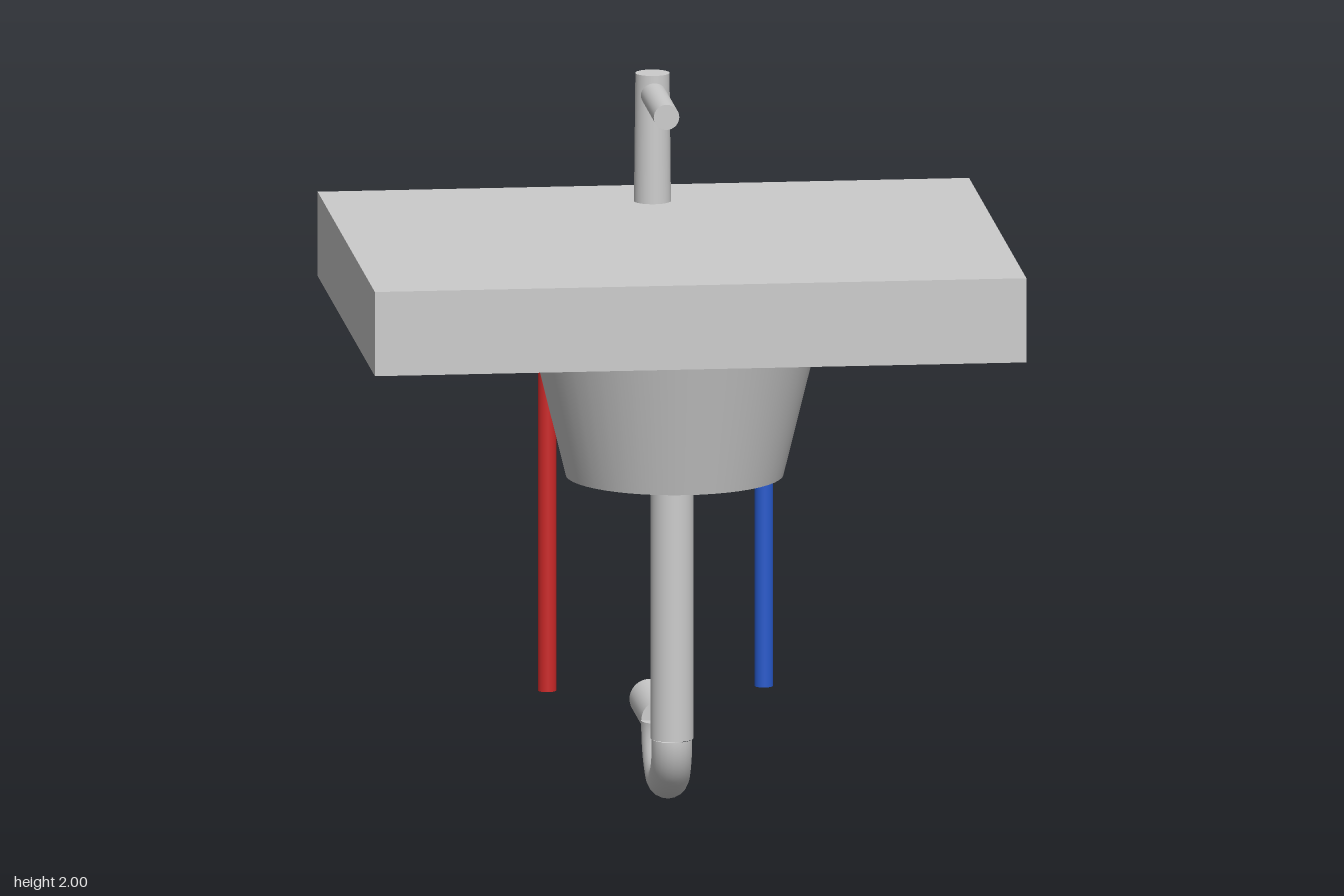
import * as THREE from 'three';

export function createModel() {
  const model = new THREE.Group();
  model.name = 'sink';

  const material = (name, color, side = THREE.FrontSide) => {
    const m = new THREE.MeshStandardMaterial({ color, side });
    m.name = name;
    return m;
  };
  const grey = material('grey', 0xcccccc);
  const red = material('red', 0xcc2828);
  const blue = material('blue', 0x285acc);

  const add = (name, geometry, mat, x, y, z) => {
    const mesh = new THREE.Mesh(geometry, mat);
    mesh.name = name;
    mesh.position.set(x, y, z);
    model.add(mesh);
    return mesh;
  };

  // Upright round part between two heights
  const upright = (name, mat, x, z, y0, y1, rBottom, rTop = rBottom, sides = 32) =>
    add(name, new THREE.CylinderGeometry(rTop, rBottom, y1 - y0, sides), mat, x, (y0 + y1) / 2, z);

  // Round part lying along z
  const lying = (name, mat, y, z0, z1, r) => {
    const geometry = new THREE.CylinderGeometry(r, r, Math.abs(z1 - z0), 32).rotateX(Math.PI / 2);
    return add(name, geometry, mat, 0, y, (z0 + z1) / 2);
  };

  // Countertop and the tapered bowl beneath it
  add('countertop', new THREE.BoxGeometry(1.834, 0.24, 1.466), grey, 0, 1.515, 0);
  upright('bowl', grey, 0, 0.064, 0.965, 1.395, 0.305, 0.411, 48);

  // Tap
  upright('tapBody', grey, 0, -0.5, 1.635, 2, 0.052, 0.048);
  lying('tapSpout', grey, 1.943, -0.5, -0.14, 0.036);

  // Drain: down pipe, U-bend and outlet
  upright('drainPipe', grey, 0, 0, 0.2, 0.965, 0.06);
  const bend = new THREE.TorusGeometry(0.136, 0.057, 20, 32, Math.PI);
  bend.rotateX(Math.PI).rotateY(Math.PI / 2);
  add('drainBend', bend, grey, 0, 0.198, -0.136);
  const bendCap = new THREE.CircleGeometry(0.057, 20).rotateX(-Math.PI / 2);
  add('drainBendEnd', bendCap, grey, 0, 0.198, -0.272);
  lying('drainOutlet', grey, 0.2, -0.58, -0.274, 0.056);

  // Hot and cold supply pipes
  upright('hotPipe', red, -0.305, -0.425, 0.26, 1.395, 0.026, 0.026, 24);
  upright('coldPipe', blue, 0.305, -0.425, 0.26, 1.395, 0.026, 0.026, 24);

  return model;
}
